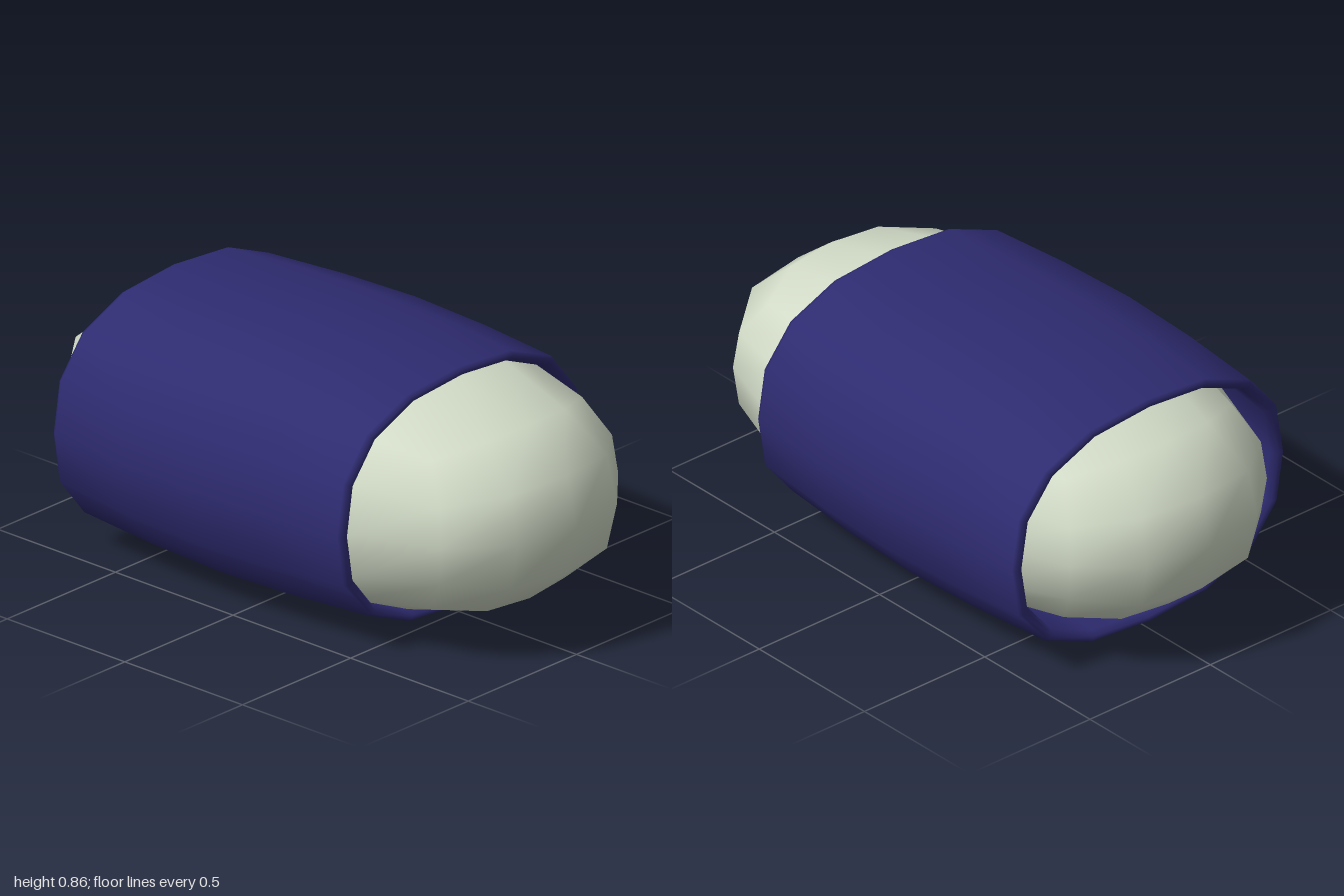
import * as THREE from 'three';
import { mergeVertices } from 'three/addons/utils/BufferGeometryUtils.js';

const POWER = 2.5; // squareness of the rounded cross-sections
const STEP = 0.45; // position of the intermediate edge loops
const CENTRE_Y = 0.429;

// Length of a vector under the superellipse norm.
const norm = (...v) => v.reduce((s, c) => s + Math.abs(c) ** POWER, 0) ** (1 / POWER);

// Sixteen points around a rounded oval of unit half-size, counter-clockwise.
function ovalRing() {
  const ring = [];
  let quarter = [[1, -STEP], [1, 0], [1, STEP], [1, 1]];
  for (let q = 0; q < 4; q++) {
    for (const [x, y] of quarter) ring.push([x / norm(x, y), y / norm(x, y)]);
    quarter = quarter.map(([x, y]) => [-y, x]);
  }
  return ring;
}

// Rounded pill: a 4x4x4 box grid pushed out to a superellipsoid.
function bodyGeometry(rx, ry, rz) {
  let geo = new THREE.BoxGeometry(2, 2, 2, 4, 4, 4);
  geo.deleteAttribute('uv');
  geo.deleteAttribute('normal');
  geo = mergeVertices(geo);
  const pos = geo.attributes.position;
  const loop = (c) => (Math.abs(Math.abs(c) - 0.5) < 0.01 ? Math.sign(c) * STEP : c);
  for (let i = 0; i < pos.count; i++) {
    const v = [pos.getX(i), pos.getY(i), pos.getZ(i)].map(loop);
    const [x, y, z] = v.map((c) => c / norm(...v));
    // Stretch the ends a little fuller along the length.
    pos.setXYZ(i, x * rx, y * ry, Math.sign(z) * Math.abs(z) ** 0.8 * rz);
  }
  geo.computeVertexNormals();
  return geo;
}

// Open-ended thick sleeve: a closed wall profile [z, scale] swept round the oval.
function sleeveGeometry(rx, ry, profile) {
  const ring = ovalRing();
  const n = ring.length, m = profile.length;
  const points = [], index = [];
  profile.forEach(([z, s], i) => ring.forEach(([x, y], j) => {
    points.push(x * rx * s, y * ry * s, z);
    const a = i * n + j, b = i * n + (j + 1) % n;
    const c = ((i + 1) % m) * n + j, d = ((i + 1) % m) * n + (j + 1) % n;
    index.push(a, c, b, b, c, d);
  }));
  const geo = new THREE.BufferGeometry();
  geo.setAttribute('position', new THREE.Float32BufferAttribute(points, 3));
  geo.setIndex(index);
  geo.computeVertexNormals();
  return geo;
}

export function createModel() {
  const model = new THREE.Group();
  model.name = 'sleevedPill';
  const add = (name, geometry, color) => {
    const mesh = new THREE.Mesh(geometry, new THREE.MeshStandardMaterial({ color }));
    mesh.name = name;
    mesh.position.y = CENTRE_Y;
    model.add(mesh);
  };

  // Pale inner body
  add('innerBody', bodyGeometry(0.54, 0.39, 1), 0xd3dcc8);

  // Dark outer sleeve: outer wall, back rim, inner wall, front rim
  const wall = [
    [0.5, 0.943], [0.2, 0.982], [-0.1, 1], [-0.4, 0.982], [-0.7, 0.943],
    [-0.712, 0.93], [-0.712, 0.895], [-0.69, 0.87],
    [-0.4, 0.92], [-0.1, 0.94], [0.2, 0.92],
    [0.49, 0.868], [0.515, 0.895], [0.515, 0.93],
  ];
  add('outerSleeve', sleeveGeometry(0.596, CENTRE_Y, wall), 0x2e2b70);

  return model;
}
